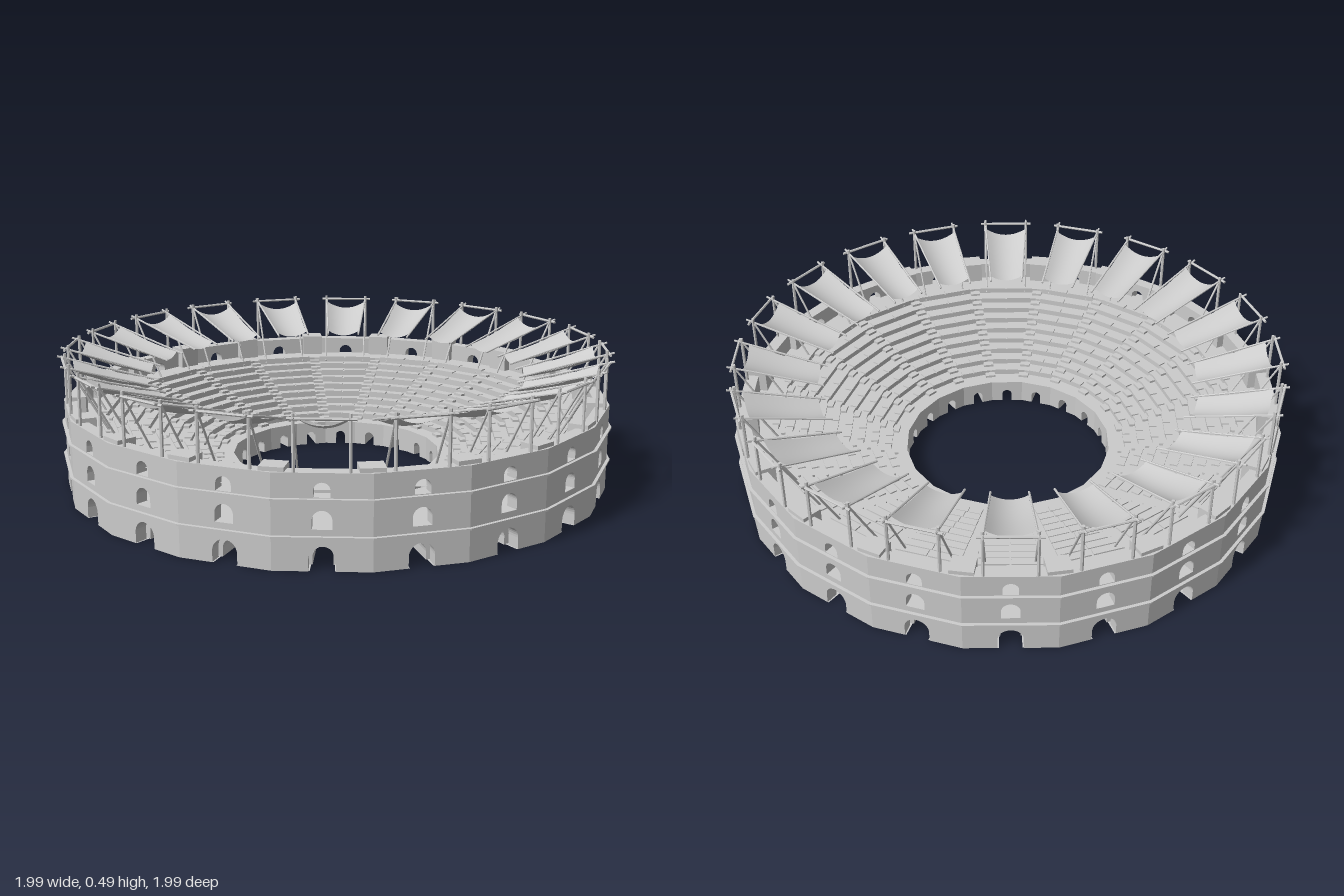
import * as THREE from 'three';

const BAYS = 20, STEP = (Math.PI * 2) / BAYS, COS = Math.cos(STEP / 2), SIN = Math.sin(STEP / 2);
const R_OUT = 0.985, R_IN = 0.38;
const mat = new THREE.MeshStandardMaterial({ color: 0xcccccc, flatShading: true, side: THREE.DoubleSide });
const clothMat = new THREE.MeshStandardMaterial({ color: 0xcccccc, side: THREE.DoubleSide });
const V = (x, y, z) => new THREE.Vector3(x, y, z);
const lerp = THREE.MathUtils.lerp;

function part(name, geo, parent, material = mat) {
  const m = new THREE.Mesh(geo, material);
  m.name = name;
  parent.add(m);
  return m;
}

// Ring with one facet per bay, turned from [radius, height] pairs
function ring(name, pts, parent) {
  const profile = pts.map(([r, y]) => new THREE.Vector2(r, y));
  return part(name, new THREE.LatheGeometry(profile, BAYS), parent);
}

// Round-headed window outline
function archHole(width, y0, y1) {
  const h = width / 2, p = new THREE.Path();
  p.moveTo(-h, y0);
  p.lineTo(h, y0);
  p.lineTo(h, y1 - h);
  p.absarc(0, y1 - h, h, 0, Math.PI, false);
  p.lineTo(-h, y0);
  return p;
}

// Flat wall panel with a doorway arch open to the ground and windows above
function wallPanel(radius, height, thickness, doorW, doorH, windows = []) {
  const w = radius * SIN, h = doorW / 2, s = new THREE.Shape();
  s.moveTo(-w, 0);
  s.lineTo(-h, 0);
  s.lineTo(-h, doorH - h);
  s.absarc(0, doorH - h, h, Math.PI, 0, true);
  s.lineTo(h, 0);
  s.lineTo(w, 0);
  s.lineTo(w, height);
  s.lineTo(-w, height);
  s.closePath();
  windows.forEach(a => s.holes.push(archHole(...a)));
  return new THREE.ExtrudeGeometry(s, { depth: thickness, bevelEnabled: false, curveSegments: 8 });
}

// Surface from a function of two parameters
function sheet(nu, nv, fn) {
  const g = new THREE.PlaneGeometry(1, 1, nu, nv), p = g.attributes.position;
  for (let i = 0; i < p.count; i++) {
    const q = fn(p.getX(i) + 0.5, 0.5 - p.getY(i));
    p.setXYZ(i, q.x, q.y, q.z);
  }
  g.computeVertexNormals();
  return g;
}

function rod(name, a, b, radius, parent) {
  const m = part(name, new THREE.CylinderGeometry(radius, radius, a.distanceTo(b), 6), parent);
  m.position.copy(a).add(b).multiplyScalar(0.5);
  m.quaternion.setFromUnitVectors(V(0, 1, 0), b.clone().sub(a).normalize());
}

export function createModel() {
  const model = new THREE.Group();
  model.name = 'amphitheatre';

  // Stepped seating bowl, ending in an open gallery below the parapet
  const ROWS = 9, r0 = 0.44, r1 = 0.89, y0 = 0.088, y1 = 0.248;
  const run = (r1 - r0) / ROWS, rise = (y1 - y0) / ROWS;
  const profile = [[R_IN, y0], [r0, y0]];
  for (let i = 0; i < ROWS; i++) {
    const r = r0 + i * run, y = y0 + (i + 1) * rise;
    profile.push([r, y], [r + run, y]);
  }
  profile.push([0.95, y1]);
  ring('seating', profile, model);

  // Cornices and gallery floor
  for (const y of [0.106, 0.225])
    ring('cornice', [[0.975, y], [0.996, y + 0.001], [0.996, y + 0.007], [0.975, y + 0.008]], model);
  ring('galleryFloor', [[0.6, 0.115], [0.95, 0.115]], model);

  // Shared geometries for every bay
  const outerGeo = wallPanel(R_OUT, 0.312, 0.045, 0.084, 0.08,
    [[0.062, 0.134, 0.194], [0.052, 0.235, 0.282]]);
  const passageGeo = wallPanel(0.93, 0.115, 0.01, 0.064, 0.06);
  const innerGeo = wallPanel(R_IN, y0, 0.02, 0.036, 0.05);
  const zOut = R_OUT * COS, zIn = R_IN * COS, zPassage = 0.93 * COS;

  // Arched tunnel narrowing towards the arena
  const halfWidth = v => lerp(0.032, 0.018, v);
  const tunnelGeo = sheet(12, 1, (u, v) => {
    const h = halfWidth(v), spring = lerp(0.028, 0.032, v), z = lerp(zPassage, zIn + 0.005, v);
    if (u < 0.01) return V(-h, 0, z);
    if (u > 0.99) return V(h, 0, z);
    const a = Math.PI * (1 - (u * 12 - 1) / 10);
    return V(h * Math.cos(a), spring + h * Math.sin(a), z);
  });
  // Base on either side of the tunnel
  const baseGeo = side => sheet(1, 1, (u, v) => {
    const z = lerp(zOut, zIn, v);
    return V(side * lerp(halfWidth(v) + 0.006 * (1 - v), z * SIN / COS, u), 0.001, z);
  });
  const baseGeos = [baseGeo(-1), baseGeo(1)];

  // Sagging cloth awning
  const clothGeo = sheet(10, 8, (u, v) => {
    const s = u * 2 - 1;
    const sag = lerp(0.026, 0.018, v) * (1 - s * s) + 0.008 * Math.sin(Math.PI * v);
    return V(s * lerp(0.08, 0.06, v), lerp(0.472, 0.394, v) - sag, lerp(0.94, 0.685, v));
  });

  for (let k = 0; k < BAYS; k++) {
    const bay = new THREE.Group();
    bay.name = 'bay';
    bay.rotation.y = (k + 0.5) * STEP;
    model.add(bay);

    part('outerWall', outerGeo, bay).position.z = zOut - 0.045;
    part('passageWall', passageGeo, bay).position.z = zPassage - 0.01;
    part('arenaWall', innerGeo, bay).position.z = zIn;
    part('tunnel', tunnelGeo, bay);
    baseGeos.forEach(g => part('base', g, bay));

    // Bench slabs overhanging each step, two to a row
    for (let i = 0; i < ROWS; i++) {
      const z = (r0 + i * run) * COS, width = z * SIN / COS - 0.026;
      for (const s of [-1, 1]) {
        const bench = part('bench', new THREE.BoxGeometry(width, 0.006, run * 0.55), bay);
        bench.position.set(s * (width / 2 + 0.003), y0 + (i + 1) * rise + 0.002, z + run * 0.2);
      }
    }

    // Awning with its timber frame
    const awning = new THREE.Group();
    awning.name = 'awning';
    bay.add(awning);
    part('awningCloth', clothGeo, awning, clothMat);
    rod('crossbar', V(-0.104, 0.478, 0.976), V(0.104, 0.478, 0.976), 0.005, awning);
    for (const s of [-1, 1]) {
      rod('post', V(s * 0.085, 0.3, 0.966), V(s * 0.085, 0.493, 0.966), 0.006, awning);
      rod('awningPole', V(s * 0.085, 0.485, 0.993), V(s * 0.062, 0.387, 0.66), 0.004, awning);
      rod('brace', V(s * 0.08, 0.235, 0.83), V(s * 0.085, 0.474, 0.962), 0.004, awning);
    }

    // Stair aisle and parapet block on the line between two bays
    const aisle = new THREE.Group();
    aisle.name = 'aisle';
    aisle.rotation.y = k * STEP;
    model.add(aisle);
    for (let i = 0; i < ROWS; i++) {
      const stair = part('stair', new THREE.BoxGeometry(0.038, rise / 2, run / 2), aisle);
      stair.position.set(0, y0 + (i + 0.25) * rise, r0 + i * run - run / 4);
    }
    part('parapetBlock', new THREE.BoxGeometry(0.08, 0.08, 0.07), aisle).position.set(0, 0.286, 0.94);
  }
  return model;
}
